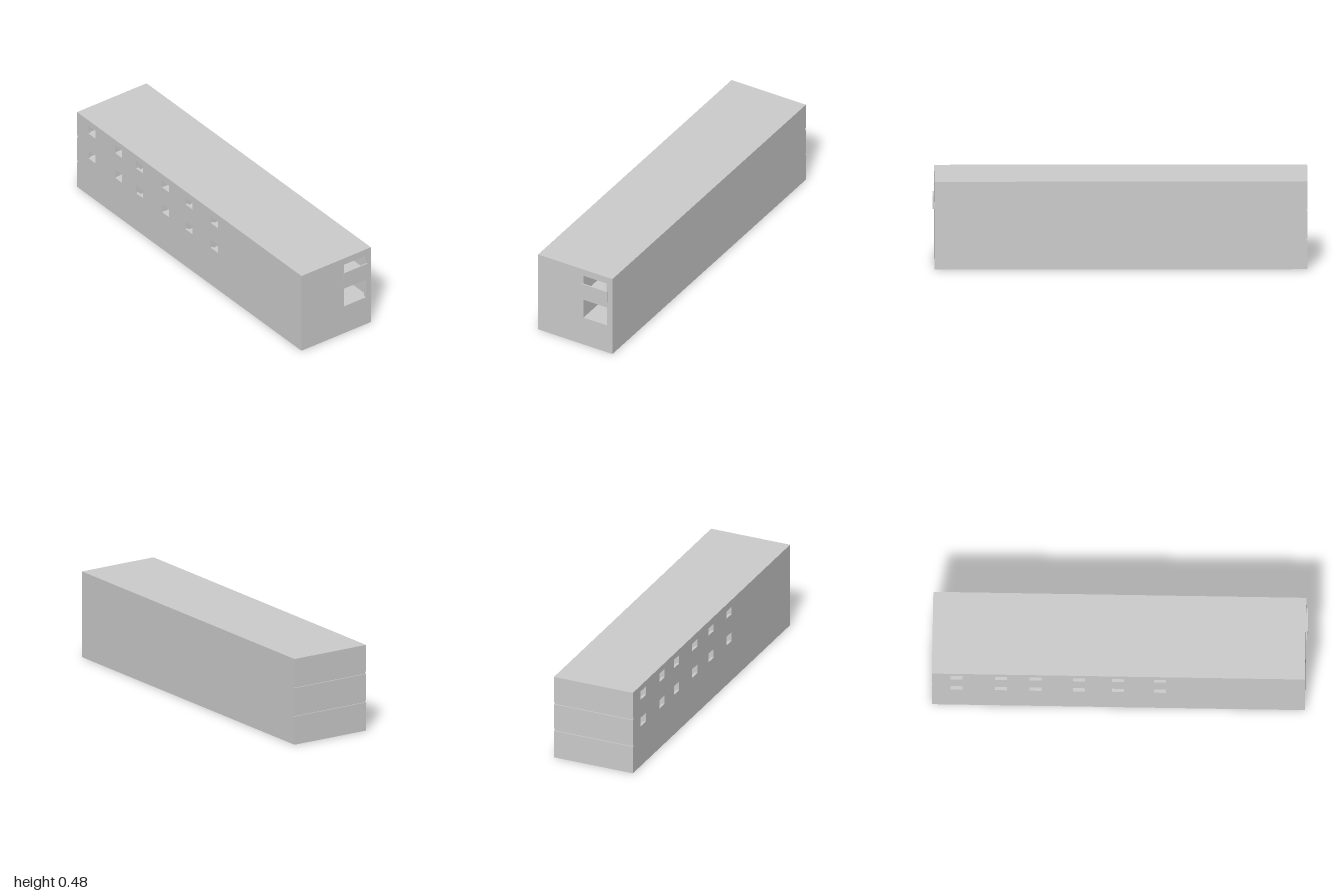
import * as THREE from 'three';

const X0 = -1, X1 = 0.99, ZH = 0.232, T = 0.015;
const material = new THREE.MeshStandardMaterial({ color: 0xcccccc, flatShading: true });

function add(parent, name, geometry) {
  const mesh = new THREE.Mesh(geometry, material);
  mesh.name = name;
  parent.add(mesh);
  return mesh;
}

// Box given by its minimum and maximum on each axis
function block(parent, name, x0, x1, y0, y1, z0, z1) {
  const mesh = add(parent, name, new THREE.BoxGeometry(x1 - x0, y1 - y0, z1 - z0));
  mesh.position.set((x0 + x1) / 2, (y0 + y1) / 2, (z0 + z1) / 2);
  return mesh;
}

function rectangle(path, a0, a1, b0, b1) {
  return path.moveTo(a0, b0).lineTo(a1, b0).lineTo(a1, b1).lineTo(a0, b1).closePath();
}

// Flat plate with rectangular holes, each given as [a0, a1, b0, b1]
function plate(a0, a1, b0, b1, holes, depth) {
  const shape = rectangle(new THREE.Shape(), a0, a1, b0, b1);
  for (const h of holes) shape.holes.push(rectangle(new THREE.Path(), ...h));
  return new THREE.ExtrudeGeometry(shape, { depth, bevelEnabled: false });
}

const windowCentres = [-0.868, -0.632, -0.446, -0.216, -0.008, 0.216];
const partitions = [-0.75, -0.54, -0.33, -0.11, 0.11, 0.36];
const corridorZ = -0.045, stairEnd = -0.8;

function storey(name, y0, y1, sill, heads, opening) {
  const group = new THREE.Group();
  group.name = name;

  // Outer walls
  const windows = windowCentres.map((x, i) => [x - 0.032, x + 0.032, sill, heads[i]]);
  add(group, 'frontWall', plate(X0, X1, y0, y1, windows, T)).position.z = ZH - T;
  block(group, 'backWall', X0, X1, y0, y1, -ZH, -ZH + T);
  block(group, 'rightEndWall', X0, X0 + T, y0, y1, -ZH + T, ZH - T);
  // The plate's first axis runs towards -z once it is turned to face +x
  const [z0, z1, b, t] = opening;
  const end = add(group, 'leftEndWall', plate(-ZH + T, ZH - T, y0, y1, [[-z1, -z0, b, t]], T));
  end.rotation.y = Math.PI / 2;
  end.position.x = X1 - T;

  // Corridor wall with a door to each room
  block(group, 'corridorWall', X0 + T, X1 - T, y0, y1, corridorZ - 0.006, corridorZ + 0.004);
  windowCentres.forEach((x, i) => {
    const dx = i % 2 ? -0.03 : 0.03;
    block(group, 'roomDoor', x + dx - 0.035, x + dx + 0.035, y0, y0 + 0.08,
      corridorZ + 0.003, corridorZ + 0.007);
  });
  for (const x of partitions) {
    block(group, 'partition', x - 0.005, x + 0.005, y0, y1, corridorZ + 0.004, ZH - T);
  }

  // Two door leaves at the far end of the corridor
  for (const [a, c] of [[-0.0795, -0.057], [-0.112, -0.0815]]) {
    block(group, 'endDoor', X0 + T, X0 + T + 0.006, y0, y0 + 0.08, c < a ? c : a, c < a ? a : c);
  }
  return group;
}

export function createModel() {
  const model = new THREE.Group();
  model.name = 'building';

  // Plain ground storey
  block(model, 'groundStorey', X0, X1, 0, 0.157, -ZH, ZH);

  // Floor slabs, set back at one end to leave narrow grooves
  block(model, 'firstFloorSlab', X0 + 0.006, X1, 0.157, 0.17, -ZH, ZH);
  const well = [-0.8, -0.5, 0.117, 0.2];
  const slab = add(model, 'secondFloorSlab', plate(X0 + 0.006, X1, -ZH, ZH, [well], 0.013));
  slab.rotation.x = -Math.PI / 2;
  slab.position.y = 0.315;

  model.add(storey('firstFloor', 0.17, 0.315, 0.235, Array(6).fill(0.286),
    [-0.198, -0.053, 0.171, 0.284]));
  model.add(storey('secondFloor', 0.328, 0.465, 0.393, [0.443, 0.443, 0.443, 0.436, 0.436, 0.436],
    [-0.196, -0.052, 0.33, 0.437]));
  block(model, 'roof', X0, X1, 0.465, 0.477, -ZH, ZH);

  // Staircase climbing along the corridor
  const stairs = new THREE.Group();
  stairs.name = 'stairs';
  const steps = 16, rise = (0.328 - 0.17) / steps, run = 0.3 / steps;
  for (let i = 0; i < steps; i++) {
    const x = -0.5 - i * run;
    block(stairs, 'step', x - run, x, 0.17, 0.17 + (i + 1) * rise, -0.2, -0.117);
  }
  model.add(stairs);

  // Panel in front of the upper end opening
  block(model, 'balconyPanel', X1 + 0.003, 1, 0.322, 0.39, -0.203, -0.045);
  block(model, 'balconyBase', X1 - 0.002, X1 + 0.004, 0.322, 0.33, -0.2, -0.048);
  return model;
}
